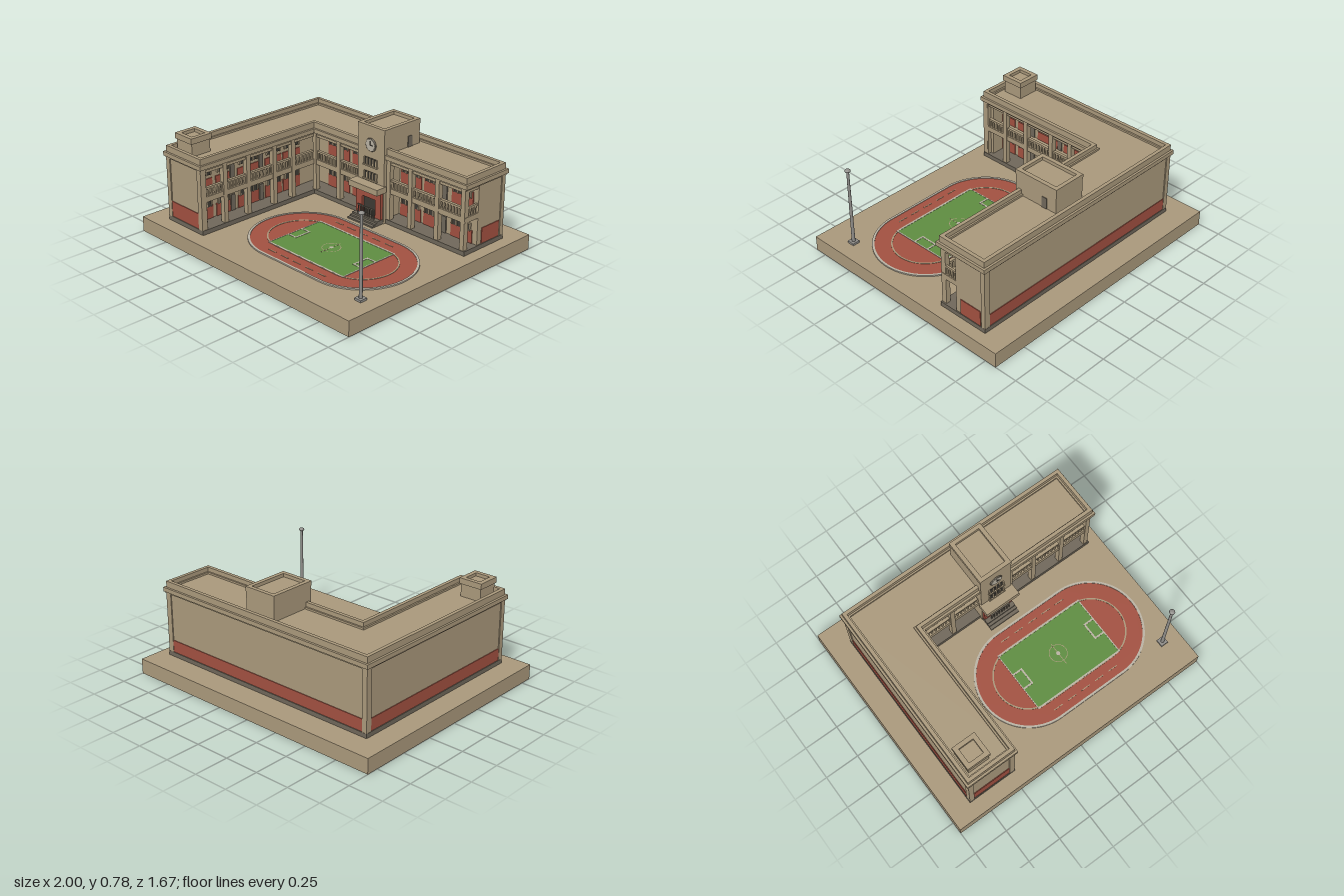
import * as THREE from 'three';
import { mergeGeometries } from 'three/addons/utils/BufferGeometryUtils.js';

const mat = (name, color, side = THREE.FrontSide) => {
  const m = new THREE.MeshStandardMaterial({ color, side });
  m.name = name;
  return m;
};

export function createModel() {
  const stone = mat('sandstone', 0xa9987b);
  const plinthMat = mat('dark plinth', 0x6f675a);
  const red = mat('brick red', 0xa15040);
  const green = mat('grass green', 0x5e8c40);
  const white = mat('pale line', 0xb9b2a3);
  const glass = mat('dark glass', 0x3d3a34);
  const metal = mat('grey metal', 0x8d8b87);

  const model = new THREE.Group();
  model.name = 'school';

  const add = (name, geo, material, parent = model) => {
    const m = new THREE.Mesh(geo, material);
    m.name = name;
    parent.add(m);
    return m;
  };
  // box from its extents: [x0, x1, y0, y1, z0, z1]
  const boxGeo = ([x0, x1, y0, y1, z0, z1]) =>
    new THREE.BoxGeometry(x1 - x0, y1 - y0, z1 - z0).translate((x0 + x1) / 2, (y0 + y1) / 2, (z0 + z1) / 2);
  const boxes = (name, material, list, parent) => add(name, mergeGeometries(list.map(boxGeo)), material, parent);
  // plan shape (x, z) raised from y0 to y1
  const raise = (shape, y0, y1, curveSegments = 32) =>
    new THREE.ExtrudeGeometry(shape, { depth: y1 - y0, bevelEnabled: false, curveSegments })
      .rotateX(Math.PI / 2).translate(0, y1, 0);

  // L-shaped plan, grown by d, with its inner corner at (cx, cz)
  const plan = (d, cx = -0.485, cz = -0.285) => new THREE.Shape([
    [-0.835 - d, -0.655 - d], [0.905 + d, -0.655 - d], [0.905 + d, cz + d],
    [cx + d, cz + d], [cx + d, 0.72 + d], [-0.835 - d, 0.72 + d],
  ].map(([x, z]) => new THREE.Vector2(x, z)));
  const rectPath = (x0, x1, z0, z1) => new THREE.Shape([
    [x0, z0], [x1, z0], [x1, z1], [x0, z1]].map(([x, z]) => new THREE.Vector2(x, z)));
  const ring = (outer, inner) => { outer.holes.push(inner); return outer; };

  // ground and main building masses
  boxes('groundSlab', stone, [[-1, 1, 0, 0.107, -0.835, 0.835]]);
  add('plinth', raise(plan(0.008), 0.107, 0.138), plinthMat);
  add('classroomBlock', raise(plan(0, -0.61, -0.41), 0.138, 0.56), stone);
  add('upperFloorSlab', raise(plan(0), 0.33, 0.368), stone);
  add('ceilingBeam', raise(plan(-0.004), 0.535, 0.56), stone);
  add('corniceLower', raise(plan(0.01), 0.56, 0.572), stone);
  add('cornice', raise(plan(0.02), 0.572, 0.602), stone);
  add('parapet', raise(ring(plan(0.005), plan(-0.02)), 0.602, 0.645), stone);
  add('parapetKerb', raise(ring(plan(-0.02), plan(-0.032)), 0.602, 0.615), stone);

  // closed end of the side wing, with pilasters at the outer corners
  boxes('endWall', stone, [[-0.62, -0.51, 0.138, 0.56, 0.66, 0.72]]);
  boxes('cornerPilasters', stone, [
    [-0.842, -0.805, 0.138, 0.56, 0.69, 0.728], [-0.842, -0.805, 0.138, 0.56, -0.662, -0.62],
    [0.87, 0.912, 0.138, 0.56, -0.662, -0.63], [-0.52, -0.48, 0.138, 0.56, 0.69, 0.728],
  ]);
  boxes('brickBands', red, [
    [-0.805, -0.52, 0.14, 0.25, 0.719, 0.725],
    [0.904, 0.91, 0.14, 0.25, -0.62, -0.45],
    [-0.805, 0.87, 0.14, 0.225, -0.66, -0.654],
    [-0.84, -0.834, 0.14, 0.225, -0.62, 0.69],
  ]);

  // one open-corridor facade; local z = 0 is the inner wall, D the corridor edge
  const D = 0.125;
  const facade = (name, { columns, windows, doors, rails, brickTop }) => {
    const g = new THREE.Group();
    g.name = name;
    model.add(g);
    boxes('columns', stone, columns.map(u => [u - 0.017, u + 0.017, 0.12, 0.56, D - 0.034, D + 0.004]), g);
    const brick = [], panes = [], frames = [], balusters = [];
    for (const [a, b] of windows) {
      brick.push([a - 0.015, b + 0.015, 0.138, 0.23, 0, 0.006], [a - 0.015, b + 0.015, 0.368, brickTop, 0, 0.006]);
      for (const y of [0.225, 0.455]) {
        panes.push([a, b, y, y + 0.048, 0, 0.009]);
        const n = Math.max(2, Math.round((b - a) / 0.04));
        for (let i = 0; i <= n; i++) {
          const u = a + (b - a) * i / n;
          frames.push([u - 0.004, u + 0.004, y, y + 0.048, 0, 0.014]);
        }
        frames.push([a - 0.006, b + 0.006, y + 0.045, y + 0.053, 0, 0.016]);
      }
    }
    for (const [a, b] of rails) {
      const n = Math.round((b - a) / 0.027);
      for (let i = 0; i <= n; i++) {
        const u = a + (b - a) * i / n;
        balusters.push([u - 0.006, u + 0.006, 0.368, 0.42, D - 0.022, D - 0.008]);
      }
      balusters.push([a, b, 0.418, 0.432, D - 0.026, D - 0.004]);
    }
    boxes('brickPanels', red, brick, g);
    boxes('windowPanes', glass, panes, g);
    boxes('windowFrames', stone, frames, g);
    boxes('balustrade', stone, balusters, g);
    boxes('classroomDoors', plinthMat,
      doors.flatMap(([a, b]) => [[a, b, 0.138, 0.255, 0, 0.009], [a, b, 0.368, 0.48, 0, 0.009]]), g);
    return g;
  };
  facade('mainWingFacade', {
    columns: [-0.48, -0.24, 0.235, 0.43, 0.665, 0.885],
    windows: [[-0.45, -0.27], [-0.21, -0.04], [0.25, 0.405], [0.46, 0.575], [0.7, 0.85]],
    doors: [[0.6, 0.645]],
    rails: [[-0.46, -0.26], [-0.22, -0.03], [0.25, 0.41], [0.45, 0.645], [0.685, 0.865]],
    brickTop: 0.5,
  }).position.z = -0.41;
  const side = facade('sideWingFacade', {
    columns: [-0.7, -0.52, -0.32, -0.085, 0.085],
    windows: [[-0.675, -0.55], [-0.49, -0.4], [-0.3, -0.145], [-0.055, 0.065], [0.11, 0.24]],
    doors: [[-0.38, -0.345], [-0.125, -0.09]],
    rails: [[-0.68, -0.54], [-0.5, -0.34], [-0.3, -0.105], [-0.065, 0.065], [0.105, 0.28]],
    brickTop: 0.43,
  });
  side.position.x = -0.61;
  side.rotation.y = Math.PI / 2;

  // balustrade closing the corridor at the wing's open end
  const endRail = [[0.885, 0.9, 0.418, 0.432, -0.41, -0.3]];
  for (let i = 0; i < 4; i++) endRail.push([0.886, 0.899, 0.368, 0.42, -0.396 + i * 0.024, -0.385 + i * 0.024]);
  boxes('endBalustrade', stone, endRail);

  // clock tower
  const tx = 0.097;
  boxes('clockTower', stone, [[-0.025, 0.219, 0.107, 0.755, -0.596, -0.257]]);
  add('towerParapet', raise(ring(rectPath(-0.027, 0.221, -0.598, -0.255), rectPath(0.003, 0.191, -0.57, -0.284)), 0.745, 0.778), stone);
  boxes('towerDoor', plinthMat, [[0.218, 0.224, 0.602, 0.68, -0.52, -0.48]]);
  const tPanes = [], tFrames = [];
  for (const y of [0.4, 0.5]) {
    tPanes.push([tx - 0.055, tx + 0.055, y, y + 0.05, -0.258, -0.251]);
    for (let i = 0; i < 5; i++) {
      const x = tx - 0.055 + i * 0.0275;
      tFrames.push([x - 0.005, x + 0.005, y, y + 0.05, -0.258, -0.246]);
    }
    tFrames.push([tx - 0.065, tx + 0.065, y - 0.01, y, -0.258, -0.242]);
  }
  boxes('towerWindows', glass, tPanes);
  boxes('towerWindowFrames', stone, tFrames);

  const clock = new THREE.Group();
  clock.name = 'clock';
  clock.position.set(tx, 0.645, -0.255);
  model.add(clock);
  add('clockFace', new THREE.CylinderGeometry(0.04, 0.04, 0.014, 32).rotateX(Math.PI / 2), white, clock);
  add('clockRim', new THREE.TorusGeometry(0.042, 0.006, 8, 32), plinthMat, clock);
  boxes('clockHands', glass, [[-0.003, 0.003, 0, 0.03, 0.006, 0.011], [0, 0.02, -0.003, 0.003, 0.006, 0.011]], clock);

  // entrance porch, canopy, gate and steps
  boxes('entranceWall', red, [[-0.018, 0.04, 0.138, 0.335, -0.26, -0.235],
    [0.16, 0.212, 0.138, 0.335, -0.26, -0.235], [0.04, 0.16, 0.27, 0.335, -0.26, -0.235]]);
  boxes('entranceDoor', glass, [[0.04, 0.16, 0.138, 0.27, -0.258, -0.251]]);
  boxes('canopy', stone, [[-0.037, 0.231, 0.338, 0.38, -0.27, -0.178]]);
  boxes('entranceSteps', plinthMat, [
    [-0.02, 0.215, 0.107, 0.14, -0.26, -0.2], [-0.02, 0.215, 0.107, 0.128, -0.2, -0.18],
    [-0.02, 0.215, 0.107, 0.117, -0.18, -0.155]]);
  const gate = [[0.02, 0.175, 0.203, 0.211, -0.218, -0.21]];
  for (let i = 0; i < 8; i++) gate.push([0.022 + i * 0.021, 0.029 + i * 0.021, 0.14, 0.206, -0.217, -0.211]);
  boxes('entranceGate', plinthMat, gate);

  // stair house on the side wing roof
  boxes('stairHouse', stone, [[-0.793, -0.637, 0.6, 0.71, 0.515, 0.667]]);
  add('stairHouseParapet', raise(ring(rectPath(-0.802, -0.629, 0.506, 0.676), rectPath(-0.77, -0.66, 0.537, 0.645)), 0.692, 0.732), stone);

  // running track and pitch
  const cx = 0.255, cz = 0.255;
  const stadium = (half, r) => {
    const s = new THREE.Shape();
    s.absarc(cx + half, cz, r, -Math.PI / 2, Math.PI / 2, false);
    s.absarc(cx - half, cz, r, Math.PI / 2, Math.PI * 1.5, false);
    s.closePath();
    return s;
  };
  add('trackKerb', raise(ring(stadium(0.265, 0.371), stadium(0.265, 0.355)), 0.1, 0.116), white);
  add('runningTrack', raise(stadium(0.265, 0.356), 0.1, 0.112), red);
  add('innerLaneLine', raise(ring(stadium(0.275, 0.238), stadium(0.275, 0.228)), 0.11, 0.1145), stone);
  boxes('pitch', green, [[-0.095, 0.588, 0.11, 0.1135, 0.032, 0.477]]);
  const dashes = [];
  for (const z of [cz - 0.3, cz + 0.3])
    for (let i = 0; i < 5; i++) dashes.push([-0.02 + i * 0.115, 0.05 + i * 0.115, 0.11, 0.114, z - 0.003, z + 0.003]);
  boxes('laneDashes', stone, dashes);
  const lines = [
    [-0.1, 0.593, 0.11, 0.115, 0.02, 0.032], [-0.1, 0.593, 0.11, 0.115, 0.477, 0.489],
    [-0.1, -0.094, 0.11, 0.115, 0.03, 0.48], [0.585, 0.593, 0.11, 0.115, 0.03, 0.48]];
  for (const [a, b, f] of [[-0.095, -0.025, -0.025], [0.515, 0.588, 0.515]]) {
    lines.push([a, b, 0.11, 0.115, 0.187, 0.199], [a, b, 0.11, 0.115, 0.308, 0.32],
      [f - 0.006, f + 0.006, 0.11, 0.115, 0.187, 0.32]);
  }
  boxes('pitchLines', white, lines);
  boxes('halfwayLine', stone, [[0.243, 0.247, 0.11, 0.1142, 0.17, 0.34]]);
  add('centreCircle', new THREE.RingGeometry(0.06, 0.064, 40).rotateX(-Math.PI / 2).translate(0.245, 0.1145, 0.25), stone);
  add('centreSpot', new THREE.CircleGeometry(0.014, 16).rotateX(-Math.PI / 2).translate(0.245, 0.115, 0.25), white);

  // flagpole
  const pole = new THREE.Group();
  pole.name = 'flagpole';
  pole.position.set(0.867, 0, 0.605);
  model.add(pole);
  boxes('poleBase', metal, [[-0.027, 0.027, 0.1, 0.122, -0.027, 0.027]], pole);
  add('poleShaft', new THREE.CylinderGeometry(0.009, 0.012, 0.56, 16).translate(0, 0.395, 0), metal, pole);
  add('poleCap', new THREE.SphereGeometry(0.02, 16, 10).scale(1, 0.6, 1).translate(0, 0.677, 0), metal, pole);

  return model;
}
